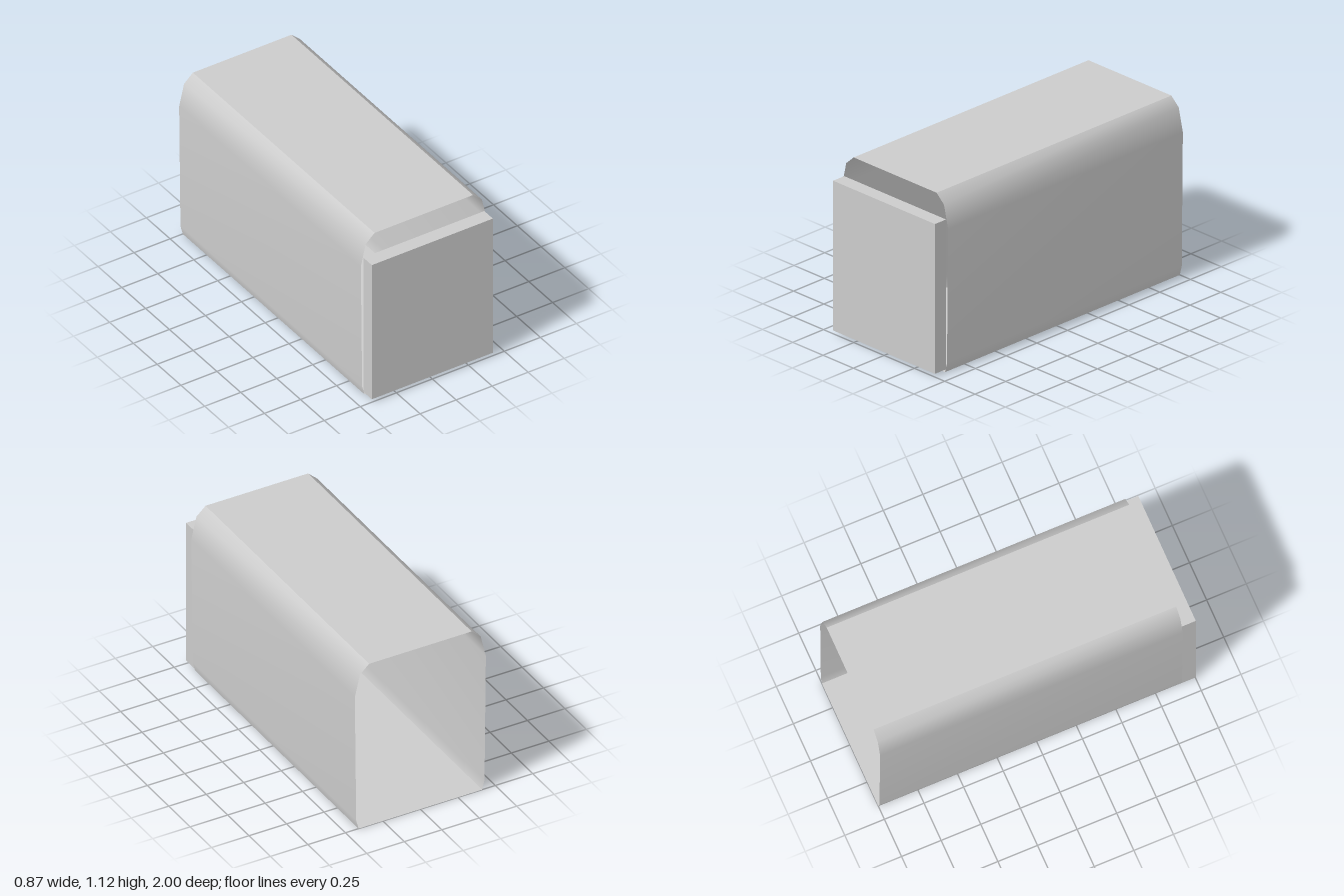
import * as THREE from 'three';

const FRONT = 0.91, BACK = -1;

// Smooth open sheet: an outline run (anticlockwise seen from the front) swept along z
function sheet(points) {
  const pos = [], idx = [];
  points.forEach(([x, y], i) => {
    pos.push(x, y, FRONT, x, y, BACK);
    if (i < points.length - 1) {
      const a = i * 2;
      idx.push(a, a + 1, a + 3, a, a + 3, a + 2);
    }
  });
  const g = new THREE.BufferGeometry();
  g.setAttribute('position', new THREE.Float32BufferAttribute(pos, 3));
  g.setIndex(idx);
  g.computeVertexNormals();
  return g;
}

export function createModel() {
  const group = new THREE.Group();
  const grey = new THREE.MeshStandardMaterial({ color: 0xcccccc, side: THREE.DoubleSide });
  grey.name = 'plain grey';

  const add = (name, geometry) => {
    const mesh = new THREE.Mesh(geometry, grey);
    mesh.name = name;
    group.add(mesh);
    return mesh;
  };

  // Side wall outline, bottom to top, with its rounded shoulder
  const side = [[0.412, 0], [0.428, 0.062], [0.437, 0.92], [0.403, 1.066], [0.342, 1.122]];
  const mirrored = side.map(([x, y]) => [-x, y]).reverse();

  // Thin sleeve, open at both ends
  add('leftWall', sheet(side));
  add('rightWall', sheet(mirrored));
  add('roof', sheet([side[4], mirrored[0]]));
  add('floor', sheet([mirrored[4], side[0]]));

  // Block in front of the sleeve
  add('frontPanel', new THREE.BoxGeometry(0.84, 0.956, 0.09)).position.set(0, 0.499, 0.955);

  return group;
}
